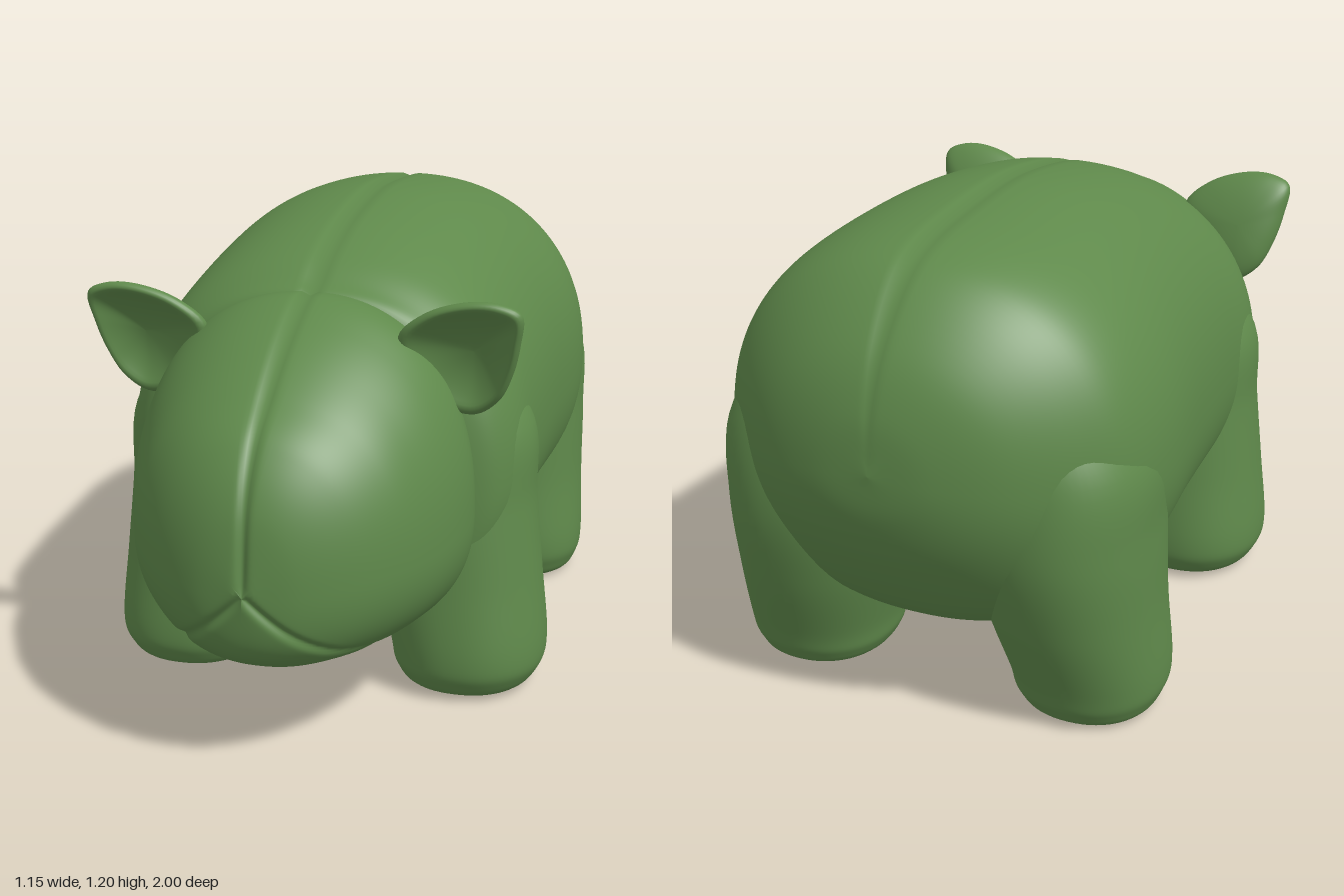
import * as THREE from 'three';

// Closed-around surface: fn(u, angle) gives a point, u runs 0..1 along the part
function grid(rows, cols, fn) {
  const pos = [], idx = [];
  for (let i = 0; i <= rows; i++) {
    for (let j = 0; j < cols; j++) {
      pos.push(...fn(i / rows, (j / cols) * Math.PI * 2));
      if (i === rows) continue;
      const a = i * cols + j, b = i * cols + ((j + 1) % cols);
      idx.push(a, b, b + cols, a, b + cols, a + cols);
    }
  }
  const g = new THREE.BufferGeometry();
  g.setAttribute('position', new THREE.Float32BufferAttribute(pos, 3));
  g.setIndex(idx);
  g.computeVertexNormals();
  return g;
}

// Loft along z through sections [z, xLow, xHigh, yLow, yHigh, yMid]
function loft(keys, power, rows, cols, shape = (p) => p) {
  const curve = (f) => new THREE.CatmullRomCurve3(keys.map(f), false, 'catmullrom', 0.5);
  const a = curve((k) => new THREE.Vector3(k[0], k[1], k[2]));
  const b = curve((k) => new THREE.Vector3(k[3], k[4], k[5]));
  const pw = (v) => Math.sign(v) * Math.pow(Math.abs(v), 2 / power);
  return grid(rows, cols, (u, t) => {
    const p = a.getPoint(u), q = b.getPoint(u);
    const c = pw(Math.cos(t)), s = pw(Math.sin(t));
    const x = (p.y + p.z) / 2 + (c * (p.z - p.y)) / 2;
    const y = q.z + s * (s > 0 ? q.y - q.z : q.z - q.x);
    return shape([x, y, p.x]);
  });
}

// Copy of a geometry on the other side of x = 0
function mirror(geo) {
  const g = geo.clone();
  const p = g.attributes.position, ix = g.index.array;
  for (let i = 0; i < p.count; i++) p.setX(i, -p.getX(i));
  for (let i = 0; i < ix.length; i += 3) [ix[i], ix[i + 1]] = [ix[i + 1], ix[i]];
  g.computeVertexNormals();
  return g;
}

// Shallow stitched groove, strongest at distance d = 0
const groove = (d) => 0.012 * Math.exp(-((d / 0.012) ** 2));
const sym = ([z, w, lo, hi, mid]) => [z, -w, w, lo, hi, mid];

function bodyGeometry() {
  const keys = [
    [-1, 0, 0.72, 0.72, 0.72], [-0.985, 0.15, 0.6, 0.86, 0.71],
    [-0.93, 0.3, 0.46, 0.99, 0.7], [-0.82, 0.44, 0.3, 1.11, 0.67],
    [-0.7, 0.52, 0.22, 1.165, 0.66], [-0.5, 0.55, 0.18, 1.19, 0.65],
    [-0.2, 0.53, 0.175, 1.2, 0.64], [0.1, 0.515, 0.18, 1.165, 0.62],
    [0.3, 0.51, 0.19, 1.11, 0.6], [0.4, 0.48, 0.19, 1.06, 0.58],
    [0.45, 0.42, 0.19, 1.03, 0.56], [0.47, 0.3, 0.25, 0.95, 0.55],
    [0.475, 0, 0.55, 0.55, 0.55],
  ].map(sym);
  return loft(keys, 2.2, 84, 160, ([x, y, z]) => [x, y > 0.75 ? y - groove(x) : y, z]);
}

function headGeometry() {
  const keys = [
    [0.42, 0.41, 0.18, 1.04, 0.52], [0.5, 0.42, 0.18, 1.04, 0.52],
    [0.6, 0.405, 0.2, 1.0, 0.51], [0.7, 0.37, 0.215, 0.945, 0.5],
    [0.8, 0.32, 0.235, 0.875, 0.5], [0.9, 0.235, 0.27, 0.79, 0.49],
    [0.97, 0.125, 0.335, 0.66, 0.48], [1.0, 0, 0.47, 0.47, 0.47],
  ].map(sym);
  // Centre seam down the face, splitting into two seams around the mouth
  return loft(keys, 2.25, 90, 180, ([x, y, z]) => {
    const ax = Math.abs(x);
    const mouth = 0.48 - 0.25 * Math.pow(ax / 0.3, 0.85);
    let d = y > 0.48 ? ax : 1;
    if (z > 0.6 && ax < 0.32) d = Math.min(d, Math.abs(y - mouth) * 0.8);
    const k = 1 - groove(d) * 1.6;
    return [x * k, 0.5 + (y - 0.5) * k, 0.45 + (z - 0.45) * k];
  });
}

// Leg sections [y, xInner, xOuter, zBack, zFront], swept upward
function legGeometry(sections) {
  const keys = sections.map(([y, x0, x1, z0, z1]) => [y, x0, x1, -z1, -z0, -(z0 + z1) / 2]);
  const g = loft(keys, 2.2, 48, 64);
  g.rotateX(-Math.PI / 2);
  return g;
}

// Cupped ear: bulging back, rolled rim and hollow front
function earGeometry() {
  const rim = new THREE.CatmullRomCurve3([
    [0.525, 0.96], [0.53, 1.035], [0.48, 1.06], [0.4, 1.06], [0.3, 1.025],
    [0.235, 0.96], [0.27, 0.86], [0.33, 0.79], [0.41, 0.77], [0.47, 0.81], [0.505, 0.88],
  ].map(([x, y]) => new THREE.Vector3(x, y, 0)), true, 'centripetal');
  return grid(32, 64, (u, t) => {
    const back = u < 0.5;
    const r = Math.sin(Math.PI * u);
    const p = rim.getPoint(t / (Math.PI * 2));
    const x = 0.41 + (p.x - 0.41) * r, y = 0.93 + (p.y - 0.93) * r;
    const lean = 0.46 + 0.09 * ((y - 0.77) / 0.29);
    const roll = Math.sqrt(Math.max(0, 1 - r * r));
    const bulge = back ? -0.055 * roll
      : 0.03 * Math.min(1, roll * 2) * Math.min(1, r * r * 1.2) - 0.025 * (1 - r * r);
    return [x, y, lean + bulge];
  });
}

export function createModel() {
  const model = new THREE.Group();
  model.name = 'plushAnimal';
  const green = new THREE.MeshStandardMaterial({ color: 0x5f894b });
  green.name = 'plush green';

  const add = (name, geo) => {
    const mesh = new THREE.Mesh(geo, green);
    mesh.name = name;
    model.add(mesh);
  };
  const addPair = (name, geo) => {
    add('left' + name, geo);
    add('right' + name, mirror(geo));
  };

  add('body', bodyGeometry());
  add('head', headGeometry());

  addPair('FrontLeg', legGeometry([
    [0.005, 0.37, 0.37, 0.255, 0.255], [0.008, 0.23, 0.51, 0.1, 0.41],
    [0.05, 0.185, 0.56, 0.05, 0.46], [0.12, 0.17, 0.573, 0.035, 0.475],
    [0.3, 0.13, 0.555, 0.04, 0.465], [0.5, 0.1, 0.535, 0.04, 0.455],
    [0.7, 0.1, 0.52, 0.06, 0.43], [0.9, 0.15, 0.38, 0.12, 0.36],
  ]));
  addPair('HindLeg', legGeometry([
    [0.005, 0.37, 0.37, -0.56, -0.56], [0.008, 0.23, 0.51, -0.71, -0.41],
    [0.05, 0.185, 0.55, -0.755, -0.37], [0.12, 0.17, 0.56, -0.78, -0.355],
    [0.3, 0.13, 0.55, -0.845, -0.35], [0.5, 0.1, 0.545, -0.89, -0.34],
    [0.7, 0.1, 0.53, -0.88, -0.36], [0.9, 0.15, 0.4, -0.82, -0.45],
  ]));
  addPair('Ear', earGeometry());

  return model;
}
